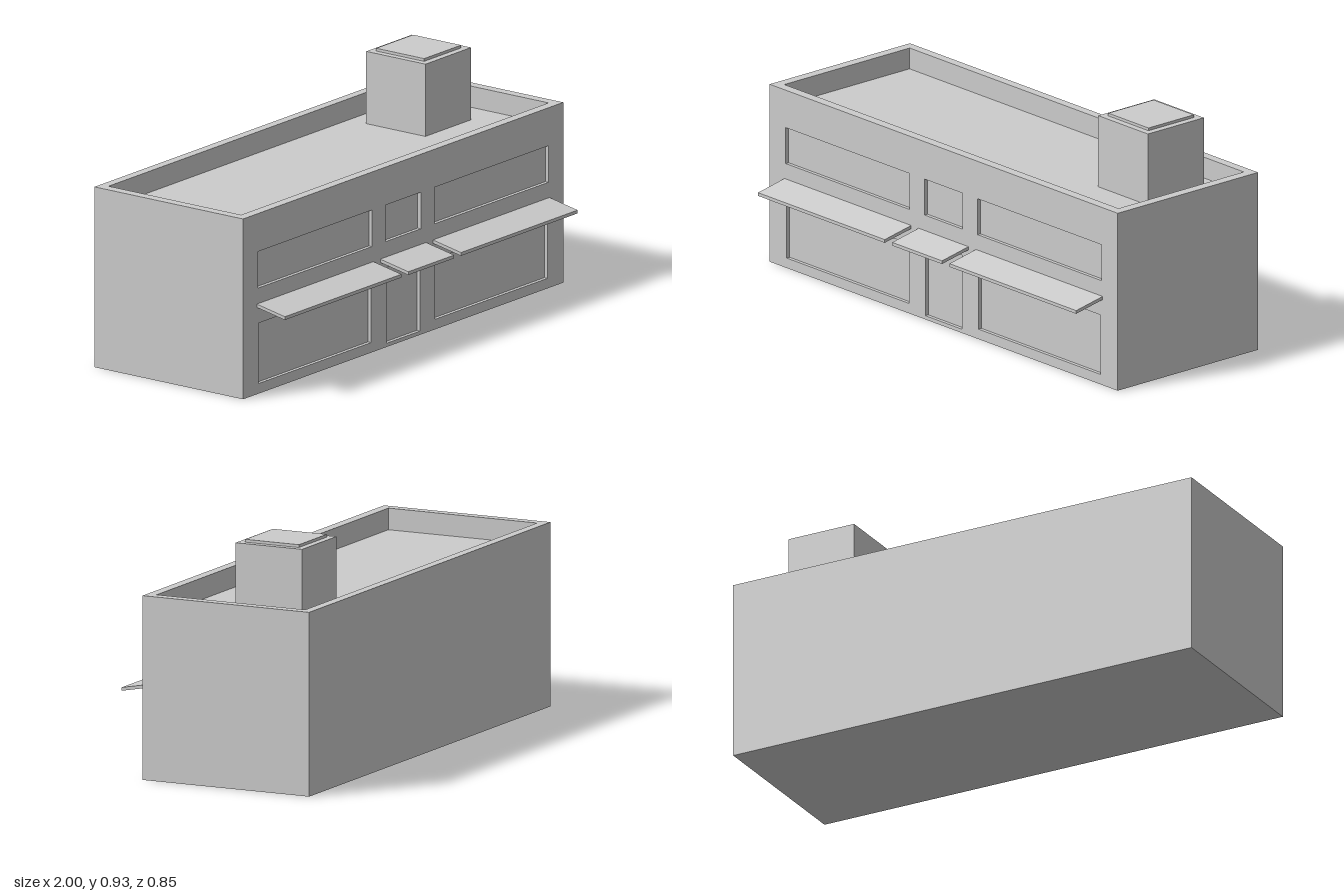
import * as THREE from 'three';

const BACK = -0.425, FRONT = 0.29, RECESS = 0.015, ROOF = 0.632, TOP = 0.716;

// Adds a rectangle to a shape or path
function rect(path, x0, y0, x1, y1) {
  path.moveTo(x0, y0);
  path.lineTo(x1, y0);
  path.lineTo(x1, y1);
  path.lineTo(x0, y1);
  path.closePath();
  return path;
}

// Rectangle with rectangular holes, extruded along z
function panel(outer, holes, depth) {
  const shape = rect(new THREE.Shape(), ...outer);
  for (const h of holes) shape.holes.push(rect(new THREE.Path(), ...h));
  return new THREE.ExtrudeGeometry(shape, { depth, bevelEnabled: false });
}

// Box given by its min and max corners
function block(x0, y0, z0, x1, y1, z1) {
  return new THREE.BoxGeometry(x1 - x0, y1 - y0, z1 - z0)
    .translate((x0 + x1) / 2, (y0 + y1) / 2, (z0 + z1) / 2);
}

export function createModel() {
  const group = new THREE.Group();
  const material = new THREE.MeshStandardMaterial({ color: 0xcccccc, flatShading: true });
  const add = (name, geometry) => {
    const mesh = new THREE.Mesh(geometry, material);
    mesh.name = name;
    group.add(mesh);
  };

  // Main volume; its front face shows through the openings as panes
  add('buildingBody', block(-1, 0, BACK, 1, ROOF, FRONT - RECESS));

  // Front wall with the window and door openings
  const openings = [
    [-0.11, 0.42, 0.11, 0.565],  // small upper window
    [-0.105, 0.015, 0.105, 0.315], // door
  ];
  for (const s of [-1, 1]) {
    const mid = s * 0.551;
    openings.push([mid - 0.356, 0.42, mid + 0.356, 0.565]); // upper window
    openings.push([mid - 0.351, 0.04, mid + 0.351, 0.28]);  // shop window
  }
  add('frontWall', panel([-1, 0, 1, ROOF], openings, RECESS).translate(0, 0, FRONT - RECESS));

  // Parapet ring around the roof (shape y becomes -z)
  add('parapet', panel([-1, -FRONT, 1, -BACK], [[-0.96, -0.25, 0.96, 0.388]], TOP - ROOF)
    .rotateX(-Math.PI / 2).translate(0, ROOF, 0));

  // Sloping awnings
  const profile = [[FRONT, 0.345], [0.425, 0.319], [0.425, 0.332], [FRONT, 0.358]];
  const section = new THREE.Shape(profile.map(([z, y]) => new THREE.Vector2(-z, y)));
  for (const [name, x0, x1] of [
    ['rightAwning', -0.914, -0.186],
    ['doorAwning', -0.143, 0.143],
    ['leftAwning', 0.186, 0.914],
  ]) {
    add(name, new THREE.ExtrudeGeometry(section, { depth: x1 - x0, bevelEnabled: false })
      .rotateY(Math.PI / 2).translate(x0, 0, 0));
  }

  // Rooftop stair house with a thin raised cap
  add('roofHouse', block(0.54, ROOF, -0.304, 0.825, 0.919, -0.019));
  add('roofHouseCap', block(0.567, 0.919, -0.277, 0.798, 0.93, -0.046));

  return group;
}
